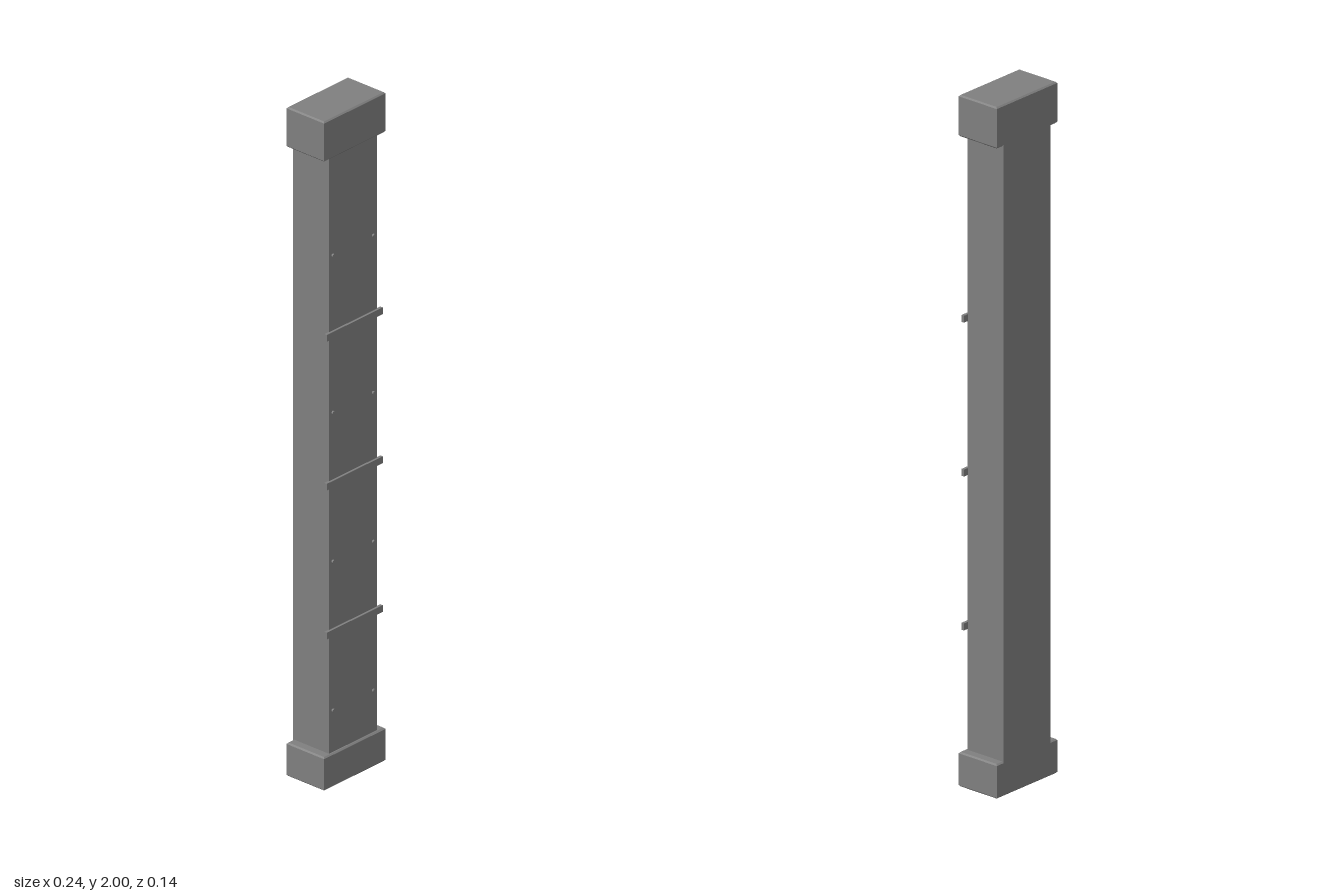
import * as THREE from 'three';

export function createModel() {
  const model = new THREE.Group();
  const grey = new THREE.MeshStandardMaterial({ color: 0x808080 });
  grey.name = 'plain grey';

  const add = (name, geometry, x, y, z) => {
    const mesh = new THREE.Mesh(geometry, grey);
    mesh.name = name;
    mesh.position.set(x, y, z);
    model.add(mesh);
    return mesh;
  };

  // Upright block with every edge chamfered by c, its base at y = 0
  const chamferedBlock = (w, h, d, c) => {
    const x = w / 2 - c, z = d / 2 - c;
    const outline = new THREE.Shape([[-x, -z], [x, -z], [x, z], [-x, z]]
      .map(([a, b]) => new THREE.Vector2(a, b)));
    const geometry = new THREE.ExtrudeGeometry(outline, {
      depth: h - 2 * c, bevelEnabled: true, bevelSize: c, bevelThickness: c, bevelSegments: 1,
    });
    geometry.translate(0, 0, c);
    geometry.rotateX(-Math.PI / 2);
    return geometry;
  };

  // Shaft, flush with the caps at the back
  const back = -0.068, front = 0.061;
  add('shaft', chamferedBlock(0.19, 1.82, front - back, 0.003), 0, 0.08, (front + back) / 2);

  // Wider end caps
  add('bottomCap', chamferedBlock(0.244, 0.1, 0.136, 0.004), 0, 0, 0);
  add('topCap', chamferedBlock(0.244, 0.12, 0.136, 0.004), 0, 1.88, 0);

  // Thin straps across the front
  for (const y of [0.46, 0.905, 1.35]) {
    add('strap', new THREE.BoxGeometry(0.222, 0.02, 0.009), 0, y, 0.0635);
  }

  // Pairs of small bolts on each panel
  const bolt = new THREE.CylinderGeometry(0.005, 0.005, 0.008, 12).rotateX(Math.PI / 2);
  for (const y of [0.225, 0.67, 1.115, 1.585]) {
    for (const side of [-1, 1]) add('bolt', bolt, side * 0.08, y, 0.062);
  }

  return model;
}
